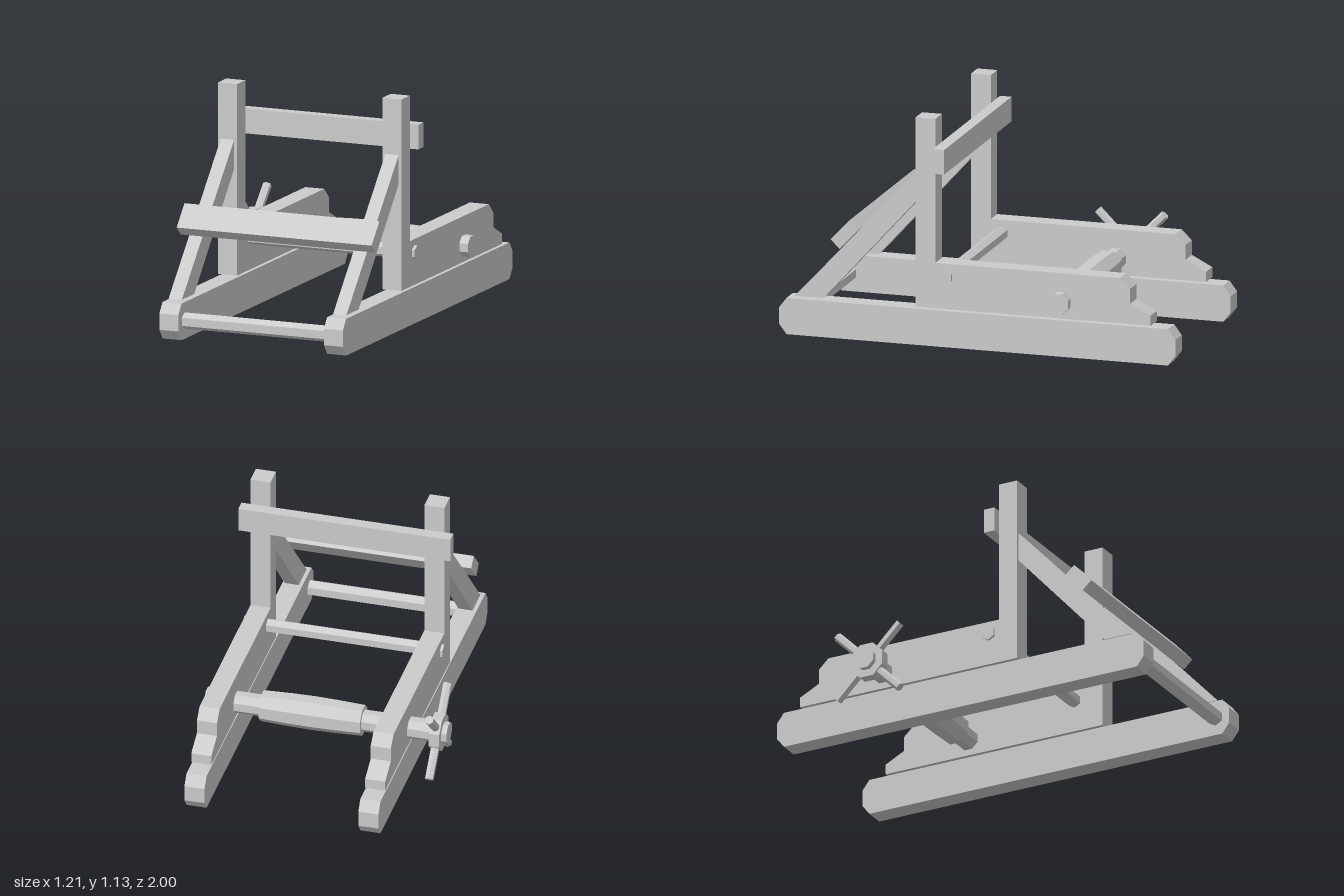
import * as THREE from 'three';

const grey = new THREE.MeshStandardMaterial({ color: 0xcccccc, flatShading: true });

export function createModel() {
  const model = new THREE.Group();

  const add = (name, geometry, x = 0, y = 0, z = 0) => {
    const mesh = new THREE.Mesh(geometry, grey);
    mesh.name = name;
    mesh.position.set(x, y, z);
    model.add(mesh);
    return mesh;
  };

  // Side profile given as [z, y] points, extruded along x and centred on x = 0
  const plank = (points, width) => {
    const shape = new THREE.Shape(points.map(([z, y]) => new THREE.Vector2(-z, y)));
    return new THREE.ExtrudeGeometry(shape, { depth: width, bevelEnabled: false })
      .translate(0, 0, -width / 2).rotateY(Math.PI / 2);
  };

  // Faceted bar running along x from x0 to x1
  const bar = (name, x0, x1, y, z, radius, sides) =>
    add(name, new THREE.CylinderGeometry(radius, radius, x1 - x0, sides, 1, false, Math.PI / sides)
      .rotateZ(Math.PI / 2), (x0 + x1) / 2, y, z);

  const railProfile = [[1, 0.05], [1, 0.13], [0.962, 0.18], [-0.962, 0.18],
    [-1, 0.13], [-1, 0.05], [-0.962, 0], [0.962, 0]];
  const frameProfile = [[0.31, 0.19], [0.31, 1.13], [0.21, 1.13], [0.21, 0.415], [-0.72, 0.415],
    [-0.772, 0.365], [-0.772, 0.292], [-0.875, 0.24], [-0.875, 0.19]];
  const braceProfile = [[0.925, 0.19], [0.31, 0.855], [0.31, 0.712], [0.78, 0.19]];

  // Both sides: ground rail, upright with side plank, slanted brace
  for (const [side, x] of [['right', -0.36], ['left', 0.505]]) {
    add(side + 'Rail', plank(railProfile, 0.1), x);
    add(side + 'UprightFrame', plank(frameProfile, 0.1), x);
    add(side + 'Brace', plank(braceProfile, 0.07), x);
  }

  // Cross boards
  add('upperCrossBoard', new THREE.BoxGeometry(1.055, 0.122, 0.058), 0.0725, 0.93, 0.181);
  add('slantedCrossBoard', new THREE.BoxGeometry(1.025, 0.138, 0.063), 0.0725, 0.526, 0.66)
    .rotation.x = -Math.atan2(0.615, 0.665);

  // Tie rods
  bar('frontTieRod', -0.32, 0.465, 0.09, 0.925, 0.04, 6);
  bar('middleTieRod', -0.423, 0.57, 0.35, 0.157, 0.035, 6);

  // Winch axle with bulging drum
  const axleY = 0.271, axleZ = -0.422;
  bar('winchAxle', -0.605, 0.6, axleY, axleZ, 0.054, 8);
  const drumProfile = [[0, -0.2525], [0.076, -0.2525], [0.081, -0.12], [0.083, 0],
    [0.081, 0.12], [0.076, 0.2525], [0, 0.2525]].map(([r, h]) => new THREE.Vector2(r, h));
  add('winchDrum', new THREE.LatheGeometry(drumProfile, 8, Math.PI / 8).rotateZ(Math.PI / 2),
    0.0725, axleY, axleZ);

  // Hand wheel: hub and four diagonal spokes
  bar('wheelHub', -0.579, -0.526, axleY, axleZ, 0.093, 8);
  for (let i = 0; i < 4; i++) {
    add('wheelSpoke', new THREE.CylinderGeometry(0.022, 0.022, 0.2, 6).translate(0, 0.14, 0),
      -0.552, axleY, axleZ).rotation.x = Math.PI / 4 + i * Math.PI / 2;
  }

  return model;
}
